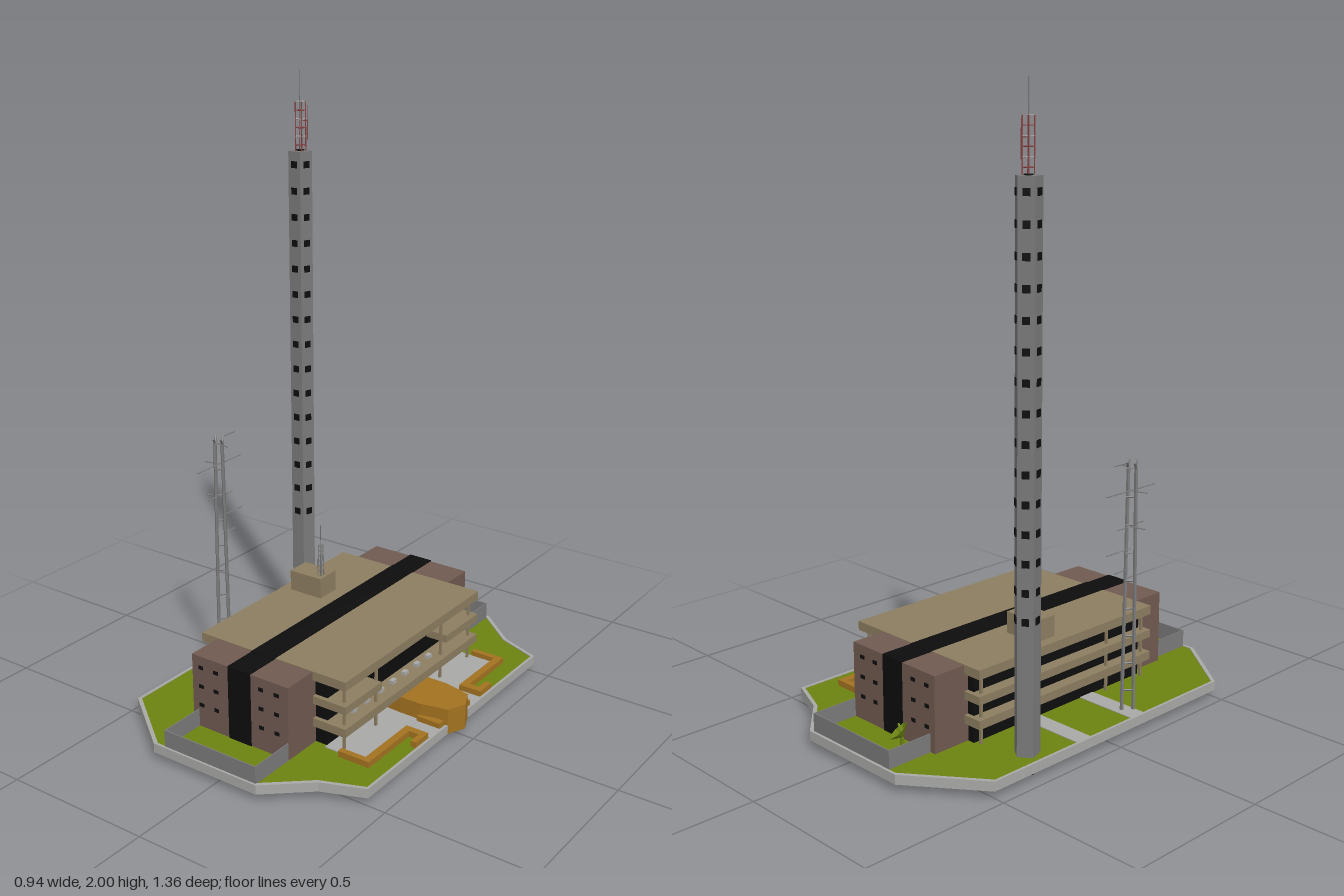
import * as THREE from 'three';

const mat = (name, color, double = false) => {
  const m = new THREE.MeshStandardMaterial({ color });
  m.name = name;
  m.flatShading = true;
  if (double) m.side = THREE.DoubleSide;
  return m;
};

export function createModel() {
  const root = new THREE.Group();
  root.name = 'broadcastCentre';
  const concrete = mat('concrete', 0xa8a8a6, true);
  const grass = mat('grass', 0x6b8210, true);
  const tan = mat('tan', 0x8c7d60);
  const brown = mat('brown', 0x705a50);
  const black = mat('black', 0x0d0d0d);
  const orange = mat('orange', 0xa37220, true);
  const grey = mat('grey', 0x7a7a7a, true);
  const red = mat('red', 0x8a4444);

  const add = (name, geo, m, parent = root) => {
    const mesh = new THREE.Mesh(geo, m);
    mesh.name = name;
    parent.add(mesh);
    return mesh;
  };
  const group = (name) => {
    const g = new THREE.Group();
    g.name = name;
    root.add(g);
    return g;
  };
  // box given by its limits
  const box = (name, x0, x1, y0, y1, z0, z1, m, parent) => {
    const b = add(name, new THREE.BoxGeometry(x1 - x0, y1 - y0, z1 - z0), m, parent);
    b.position.set((x0 + x1) / 2, (y0 + y1) / 2, (z0 + z1) / 2);
    return b;
  };
  // thin bar between two points
  const bar = (name, a, b, r, m, parent) => {
    const p = new THREE.Vector3(...a), q = new THREE.Vector3(...b);
    const d = q.clone().sub(p);
    const mesh = add(name, new THREE.CylinderGeometry(r, r, d.length(), 5), m, parent);
    mesh.position.copy(p).add(q).multiplyScalar(0.5);
    mesh.quaternion.setFromUnitVectors(new THREE.Vector3(0, 1, 0), d.normalize());
    return mesh;
  };
  // plan outline (x, z) raised from y0 to y1
  const slab = (name, pts, y0, y1, m, hole, parent) => {
    const toV = ([x, z]) => new THREE.Vector2(x, -z);
    const s = new THREE.Shape(pts.map(toV));
    if (hole) s.holes.push(new THREE.Path(hole.map(toV)));
    const g = new THREE.ExtrudeGeometry(s, { depth: y1 - y0, bevelEnabled: false });
    g.rotateX(-Math.PI / 2);
    g.translate(0, y0, 0);
    return add(name, g, m, parent);
  };

  // site: kerb ring, lawn and paving
  const site = group('site');
  const outline = [[-0.47, -0.505], [-0.24, -0.68], [0.16, -0.68], [0.3, -0.56], [0.44, -0.505],
    [0.44, 0.5], [0.3, 0.555], [0.16, 0.675], [-0.24, 0.675], [-0.47, 0.5]];
  const inner = outline.map(([x, z]) => [x - Math.sign(x) * 0.009, z - Math.sign(z) * 0.009]);
  slab('kerb', outline, 0.025, 0.056, concrete, inner, site);
  slab('lawn', inner, 0.04, 0.053, grass, null, site);
  for (const [z0, z1] of [[-0.155, -0.095], [0.09, 0.15]]) {
    box('path', -0.466, 0.436, 0.038, 0.0555, z0, z1, concrete, site);
  }
  box('plaza', 0.2, 0.35, 0.05, 0.0565, -0.385, 0.385, concrete, site);

  // main block: dark glazing, floor bands and roof
  const building = group('building');
  box('glazing', -0.245, 0.2, 0.053, 0.28, -0.375, 0.37, black, building);
  box('roof', -0.285, 0.277, 0.27, 0.3, -0.39, 0.385, tan, building);
  box('lowerBand', -0.285, 0.277, 0.112, 0.14, -0.39, 0.385, tan, building);
  box('upperBandBack', -0.285, -0.2, 0.19, 0.216, -0.39, 0.385, tan, building);
  for (const [z0, z1] of [[-0.39, -0.19], [0.19, 0.385]]) {
    box('upperBand', -0.2, 0.277, 0.19, 0.216, z0, z1, tan, building);
  }
  for (const x of [-0.265, 0.255]) {
    for (const z of [-0.365, -0.19, 0.19, 0.36]) {
      box('post', x - 0.004, x + 0.004, 0.055, 0.28, z - 0.004, z + 0.004, tan, building);
    }
  }
  // terrace furniture
  for (const z of [-0.15, -0.08, -0.01, 0.06, 0.13, 0.21, 0.28]) {
    box('terraceSeat', 0.225, 0.24, 0.14, 0.152, z - 0.011, z + 0.011, concrete, building);
  }

  // end blocks, small windows and walled yards
  for (const s of [-1, 1]) {
    const end = group(s > 0 ? 'frontEnd' : 'backEnd');
    const span = (a, b) => (s > 0 ? [a, b] : [-b, -a]);
    const [a, b] = span(0.36, 0.508);
    box('endBlock', -0.22, 0.155, 0.053, 0.298, a, b, brown, end);
    box('endStripe', -0.075, 0.012, 0.053, 0.301, ...span(0.36, 0.511), black, end);
    for (const x of [-0.185, -0.125, 0.052, 0.112]) {
      for (const y of [0.13, 0.195, 0.26]) {
        box('endWindow', x - 0.009, x + 0.009, y - 0.006, y + 0.006, ...span(0.506, 0.51), black, end);
      }
    }
    box('yardWall', -0.2, 0.155, 0.05, 0.112, ...span(0.664, 0.668), grey, end);
    for (const x of [-0.2, 0.152]) {
      box('yardSideWall', x, x + 0.003, 0.05, 0.112, ...span(0.508, 0.666), grey, end);
    }
  }
  box('roofStripe', -0.075, 0.012, 0.295, 0.303, -0.4, 0.4, black, building);

  // rooftop hut with its aerial
  const hut = group('roofHut');
  box('hut', -0.25, -0.125, 0.3, 0.37, -0.12, -0.035, tan, hut);
  for (const [dx, dz] of [[-1, -1], [1, -1], [1, 1], [-1, 1]]) {
    bar('hutMastLeg', [-0.145 + dx * 0.007, 0.37, -0.065 + dz * 0.007],
      [-0.145 + dx * 0.005, 0.48, -0.065 + dz * 0.005], 0.002, grey, hut);
  }
  for (let y = 0.385; y < 0.48; y += 0.018) {
    box('hutMastRung', -0.151, -0.139, y, y + 0.003, -0.071, -0.059, grey, hut);
  }
  bar('hutAerial', [-0.145, 0.37, -0.065], [-0.145, 0.55, -0.065], 0.0015, grey, hut);

  // entrance: faceted canopy and its tip wall
  const entrance = group('entrance');
  const plan = [[0.2, -0.075], [0.275, -0.08], [0.35, -0.08], [0.44, -0.06], [0.468, 0],
    [0.44, 0.06], [0.35, 0.08], [0.275, 0.08], [0.2, 0.075]];
  slab('canopy', plan, 0.1, 0.112, orange, null, entrance);
  const ring = plan.map(([x, z]) => [0.2 + (x - 0.2) * 0.95 + 0.003, z * 0.9]);
  slab('canopyWall', plan, 0.055, 0.105, orange, ring, entrance);
  slab('tipWall', [[0.441, -0.06], [0.468, 0], [0.441, 0.06]], 0.026, 0.1, orange, null, entrance);

  // low garden walls beside the entrance
  for (const s of [-1, 1]) {
    const wall = (x0, x1, za, zb) => box('gardenWall', x0, x1, 0.05, 0.073,
      Math.min(s * za, s * zb), Math.max(s * za, s * zb), orange, entrance);
    wall(0.262, 0.375, 0.383, 0.403);
    wall(0.35, 0.375, 0.158, 0.39);
    wall(0.37, 0.43, 0.158, 0.182);
    wall(0.41, 0.43, 0.18, 0.228);
    wall(0.345, 0.43, 0.068, 0.092);
  }

  // tall five-sided tower with windows on every face
  const tower = group('tower');
  tower.position.set(-0.4, 0, -0.308);
  const shaft = add('shaft', new THREE.CylinderGeometry(0.041, 0.041, 1.715, 5, 1, false, Math.PI), grey, tower);
  shaft.position.y = 0.8825;
  const foot = add('foot', new THREE.CylinderGeometry(0.041, 0.041, 0.026, 5, 1, false, Math.PI), black, tower);
  foot.position.y = 0.013;
  const hatch = add('hatch', new THREE.CylinderGeometry(0.014, 0.014, 0.006, 8), black, tower);
  hatch.position.y = 1.74;
  const apothem = 0.041 * Math.cos(Math.PI / 5);
  for (let k = 0; k < 5; k++) {
    const face = new THREE.Group();
    face.name = 'towerFace';
    face.rotation.y = k * Math.PI * 0.4;
    tower.add(face);
    for (let i = 0; i < 15; i++) {
      const y = 1.697 - i * 0.0875;
      box('towerWindow', -0.011, 0.011, y - 0.011, y + 0.011, apothem - 0.002, apothem + 0.003, black, face);
    }
  }
  // tower-top lattice and spike
  const legs = [[-0.003, -0.002], [0.022, -0.002], [0.022, 0.02], [-0.003, 0.02]];
  legs.forEach(([x, z], i) => {
    bar('latticeLeg', [x, 1.74, z], [x, 1.9, z], 0.002, red, tower);
    const [x2, z2] = legs[(i + 1) % 4];
    for (let j = 0; j < 6; j++) {
      const y = 1.76 + j * 0.028;
      bar('latticeBrace', [x, y, z], [x2, y, z2], 0.0015, j % 2 ? concrete : red, tower);
    }
  });
  bar('sideAerial', [0.038, 1.78, 0.01], [0.038, 1.89, 0.01], 0.0015, red, tower);
  bar('sideArm', [0.02, 1.84, 0.01], [0.038, 1.84, 0.01], 0.0015, red, tower);
  bar('spike', [0, 1.74, 0], [0, 2, 0], 0.002, grey, tower);

  // twin-pole antenna mast with forked heads and cross arms
  const mast = group('antennaMast');
  for (const [x, z, lean] of [[-0.4, 0.115, 0.012], [-0.422, 0.145, -0.008]]) {
    const top = [x, 0.84, z + lean];
    bar('pole', [x, 0.05, z], top, 0.006, grey, mast);
    for (const d of [-1, 1]) {
      bar('fork', top, [x + d * 0.008, 0.862, top[2] + d * 0.016], 0.004, grey, mast);
    }
  }
  for (let y = 0.12; y < 0.84; y += 0.09) {
    bar('rung', [-0.4, y, 0.118], [-0.422, y, 0.142], 0.003, grey, mast);
  }
  for (const [y, z0, z1] of [[0.77, 0.02, 0.24], [0.66, 0.13, 0.19], [0.655, 0.07, 0.12],
    [0.585, 0.02, 0.13], [0.52, 0.06, 0.12], [0.86, 0.1, 0.05]]) {
    bar('arm', [-0.41, y, z0], [-0.41, y, z1], 0.002, grey, mast);
  }
  for (const [y, x] of [[0.77, -0.465], [0.655, -0.46], [0.84, -0.365]]) {
    bar('sideArm', [-0.41, y, 0.13], [x, y, 0.14], 0.002, grey, mast);
  }

  // faceted dish in the back yard
  const dish = group('dish');
  dish.position.set(-0.15, 0.055, -0.575);
  bar('dishPost', [0, 0, 0], [0, 0.06, 0], 0.007, grass, dish);
  const bowl = add('bowl', new THREE.ConeGeometry(0.036, 0.025, 7, 1, true), grass, dish);
  bowl.position.set(0, 0.063, -0.005);
  bowl.rotation.set(2.6, 0, 0.5);
  box('dishBase', -0.03, 0.02, 0, 0.015, 0, 0.035, grass, dish);
  bar('dishFeed', [0, 0.06, 0], [0.03, 0.08, 0.012], 0.004, grass, dish);

  return root;
}
